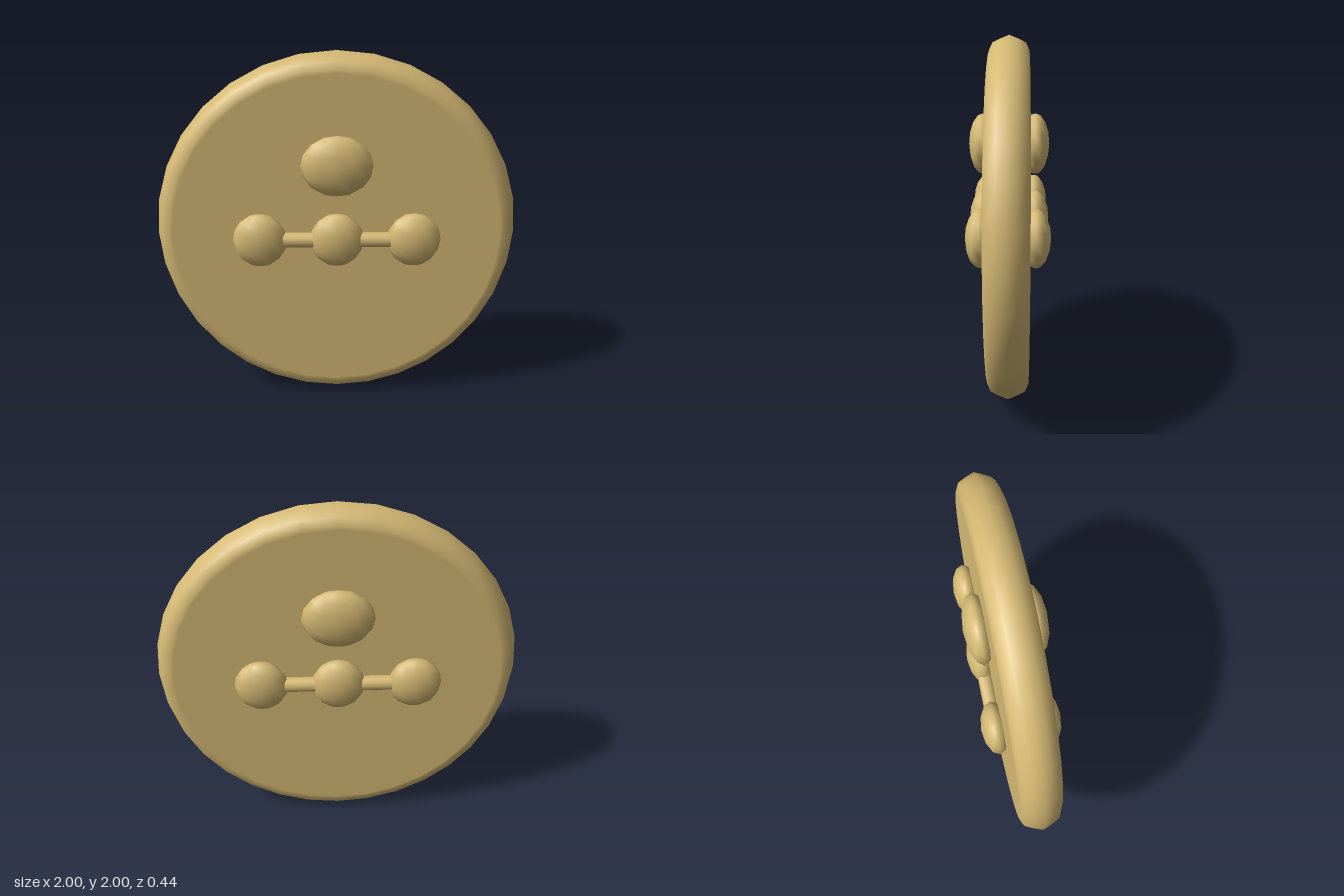
import * as THREE from 'three';

const brass = new THREE.MeshStandardMaterial({ color: 0xd4b873 });
brass.name = 'pale brass';

function add(parent, name, geometry, x = 0, y = 0, z = 0) {
  const mesh = new THREE.Mesh(geometry, brass);
  mesh.name = name;
  mesh.position.set(x, y, z);
  parent.add(mesh);
  return mesh;
}

// Flattened ball
const blob = (rx, ry, rz) => new THREE.SphereGeometry(1, 12, 8).scale(rx, ry, rz);

// Raised ornament for one face: one stud above a row of three joined by bars
function createOrnament() {
  const ornament = new THREE.Group();
  add(ornament, 'upperStud', blob(0.193, 0.165, 0.077), 0, 1.42, 0.143);
  for (const x of [-0.42, 0, 0.42]) {
    add(ornament, 'rowStud', blob(0.147, 0.152, 0.077), x, 1.003, 0.143);
  }
  for (const x of [-0.21, 0.21]) {
    const bar = new THREE.CylinderGeometry(0.041, 0.041, 0.3, 12).rotateZ(Math.PI / 2);
    add(ornament, 'bar', bar, x, 1.003, 0.14);
  }
  return ornament;
}

export function createModel() {
  const model = new THREE.Group();
  model.name = 'medallion';

  // Round plate with a softly bevelled rim, standing on its edge
  const profile = [
    [0, -0.108], [0.9, -0.108], [0.92, -0.108], [0.96, -0.09], [0.98, -0.05], [1, 0],
    [0.98, 0.05], [0.96, 0.09], [0.92, 0.108], [0.9, 0.108], [0, 0.108],
  ].map(([r, h]) => new THREE.Vector2(r, h));
  const plate = new THREE.LatheGeometry(profile, 32).rotateX(Math.PI / 2);
  add(model, 'plate', plate, 0, 1, 0);

  // The same ornament on both faces
  const front = createOrnament();
  front.name = 'frontOrnament';
  const back = createOrnament();
  back.name = 'backOrnament';
  back.rotation.y = Math.PI;
  model.add(front, back);

  return model;
}
